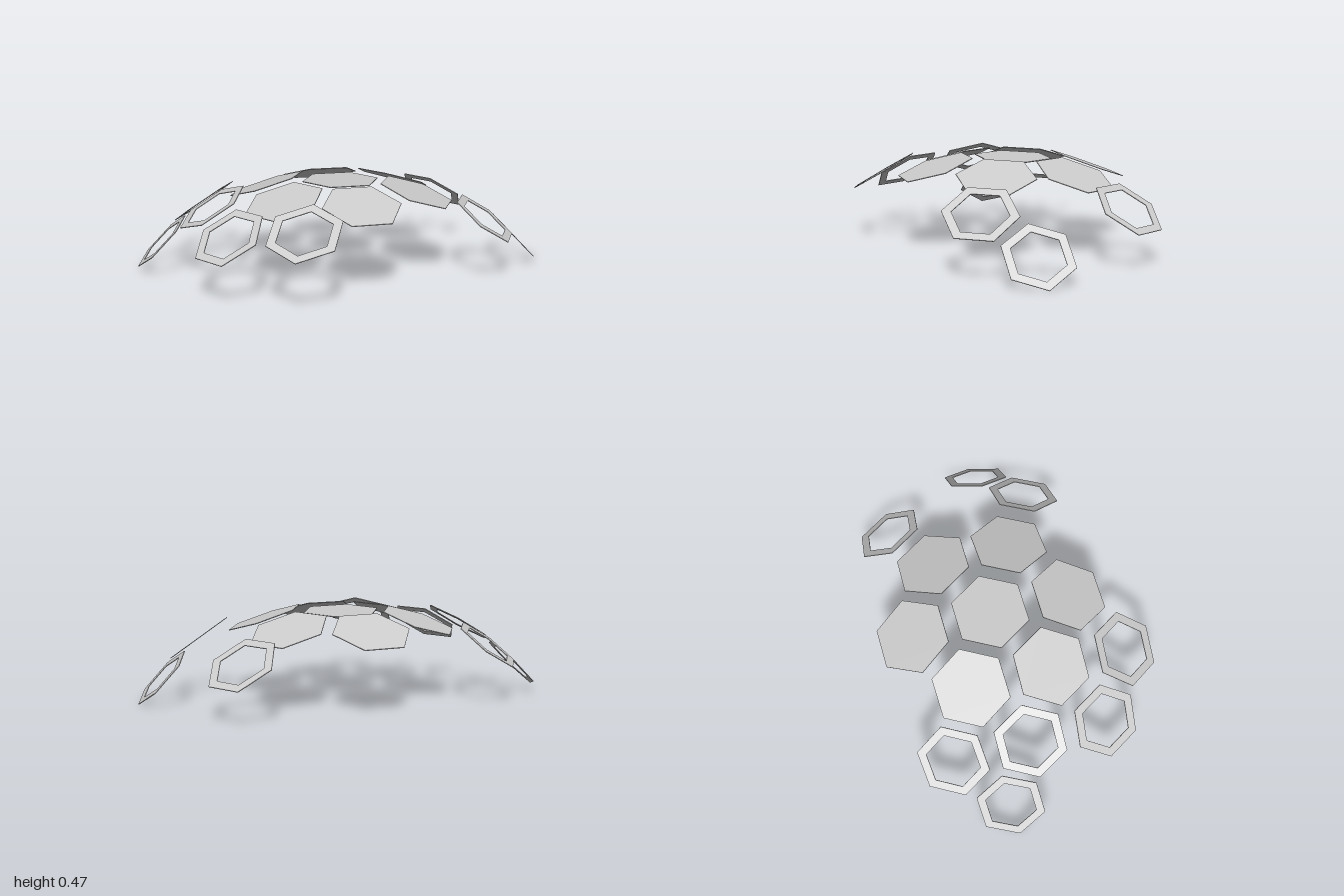
import * as THREE from 'three';

const CURVATURE = 1.3; // radius of the dome the tiles lean along
const THICK = 0.004;

const hexPoints = (r) =>
  Array.from({ length: 6 }, (_, i) => {
    const a = Math.PI / 6 + (i * Math.PI) / 3;
    return new THREE.Vector2(r * Math.cos(a), r * Math.sin(a));
  });
// Regular hexagon with two corners along z, lying flat; optionally hollow
function hexGeometry(radius, innerRadius = 0) {
  const pts = hexPoints(radius).map((p) => p.rotateAround(new THREE.Vector2(), 0));
  const shape = new THREE.Shape(pts);
  if (innerRadius) shape.holes.push(new THREE.Path(hexPoints(innerRadius).reverse()));
  const geo = new THREE.ExtrudeGeometry(shape, { depth: THICK, bevelEnabled: false });
  geo.translate(0, 0, -THICK / 2);
  return geo.rotateX(-Math.PI / 2);
}

export function createModel() {
  const group = new THREE.Group();
  group.name = 'hexagonTileDome';
  const material = new THREE.MeshStandardMaterial({
    color: 0xcccccc, flatShading: true, side: THREE.DoubleSide,
  });
  const up = new THREE.Vector3(0, 1, 0);

  // Place a tile and lean it outward along the dome
  function addTile(name, geometry, [x, y, z]) {
    const mesh = new THREE.Mesh(geometry, material);
    mesh.name = name;
    mesh.position.set(x, y, z);
    const nx = x / CURVATURE, nz = z / CURVATURE;
    const normal = new THREE.Vector3(nx, Math.sqrt(1 - nx * nx - nz * nz), nz);
    mesh.quaternion.setFromUnitVectors(up, normal.normalize());
    group.add(mesh);
  }

  // Solid tiles: one in the centre and six around it
  const solid = hexGeometry(0.205);
  [
    [0, 0.443, -0.038],
    [0.405, 0.4, -0.038], [-0.405, 0.4, -0.038],
    [0.205, 0.39, -0.397], [-0.205, 0.39, -0.397],
    [0.2, 0.405, 0.328], [-0.2, 0.405, 0.328],
  ].forEach((p, i) => addTile(`solidTile${i + 1}`, solid, p));

  // Open hexagon frames: position and outer radius
  [
    [[0.762, 0.283, -0.042], 0.189],
    [[-0.762, 0.283, -0.042], 0.189],
    [[-0.588, 0.348, 0.313], 0.193],
    [[-0.88, 0.14, 0.285], 0.18],
    [[-0.381, 0.296, 0.655], 0.19],
    [[0, 0.345, 0.67], 0.194],
    [[0.377, 0.26, -0.69], 0.188],
    [[0.88, 0.12, -0.34], 0.18],
  ].forEach(([p, r], i) => addTile(`openFrame${i + 1}`, hexGeometry(r, r * 0.745), p));

  return group;
}
